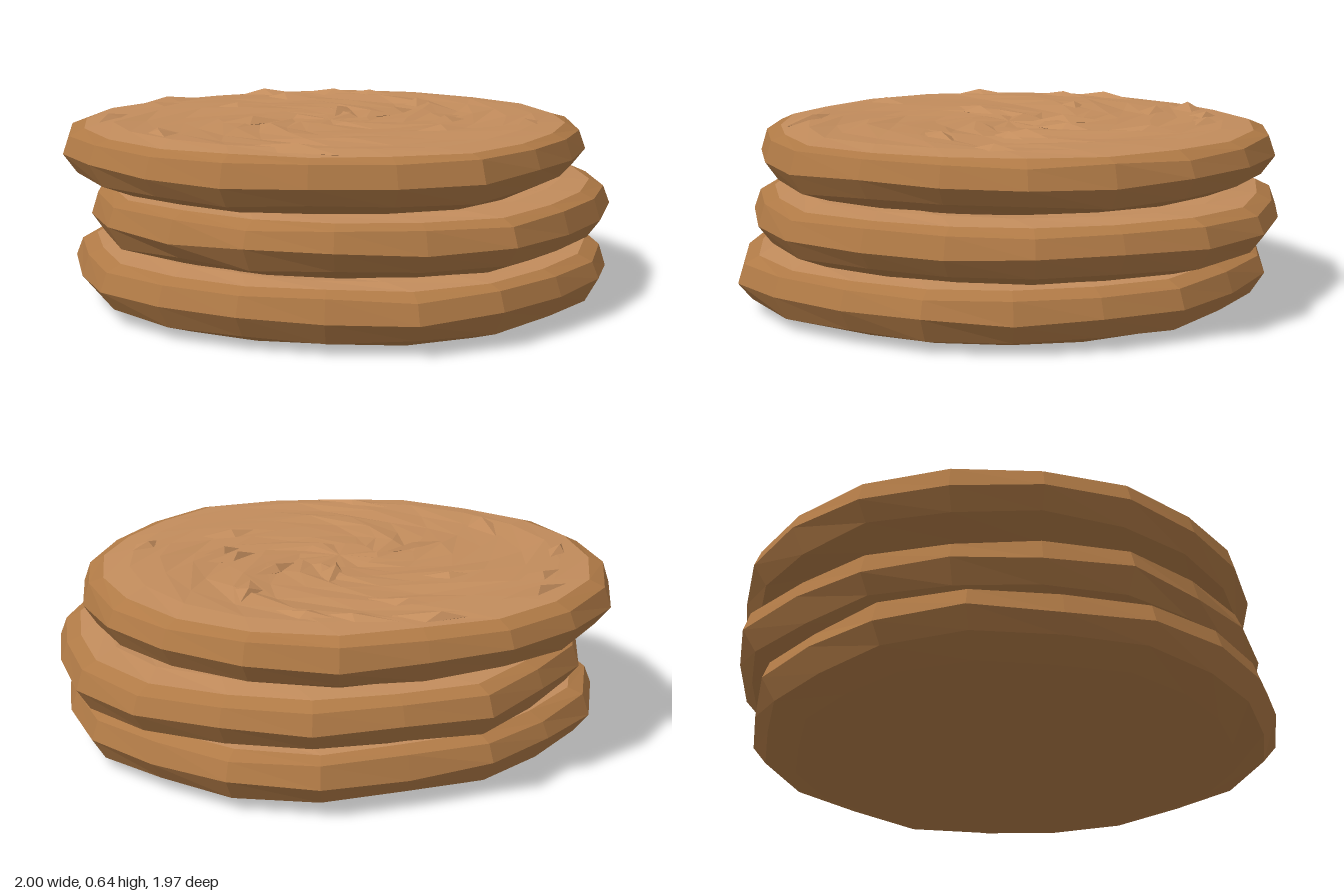
import * as THREE from 'three';

const SIDES = 20;
const crust = new THREE.MeshStandardMaterial({ color: 0xb07a46, flatShading: true });
const crumb = new THREE.MeshStandardMaterial({ color: 0xc28c5c, flatShading: true });

// Repeatable uneven value in -1..1
function wobble(i, j, seed) {
  const s = Math.sin(i * 12.99 + j * 78.23 + seed * 37.7) * 43758.55;
  return 2 * (s - Math.floor(s)) - 1;
}

// Skin over a list of closed rings; a ring flagged "pole" is a single point
function skin(rings) {
  const pos = [];
  for (let i = 0; i + 1 < rings.length; i++) {
    for (let j = 0; j < SIDES; j++) {
      const k = (j + 1) % SIDES;
      const a = rings[i][j], b = rings[i][k], c = rings[i + 1][k], d = rings[i + 1][j];
      if (!rings[i + 1].pole) pos.push(...a, ...d, ...c);
      else pos.push(...a, ...d, ...b);
      if (!rings[i].pole && !rings[i + 1].pole) pos.push(...a, ...c, ...b);
    }
  }
  const g = new THREE.BufferGeometry();
  g.setAttribute('position', new THREE.Float32BufferAttribute(pos, 3));
  g.computeVertexNormals();
  return g;
}

// One ring: fraction of the outline, height, twist, and height roughness
function ring(outline, scale, y, twist, rough, seed) {
  const pts = outline.map((r, j) => {
    const t = (j / SIDES) * Math.PI * 2 + twist;
    const rr = r * scale;
    return [Math.cos(t) * rr, y + rough * wobble(j, scale * 10, seed), Math.sin(t) * rr];
  });
  pts.pole = scale === 0;
  return pts;
}

// Rounded rim profile: [fraction of radius, height, roughness]
const RIM = [[0, 0, 0], [0.83, 0.004, 0.003], [0.95, 0.045, 0.009], [1, 0.115, 0.01],
  [0.975, 0.182, 0.007], [0.92, 0.204, 0.003]];
// Swirled top, from the rim inwards: [fraction, height, twist, roughness]
const TOP = [[0.92, 0.204, 0, 0.003], [0.81, 0.213, 0.08, 0.004], [0.69, 0.211, 0.22, 0.008],
  [0.56, 0.21, 0.4, 0.009], [0.43, 0.21, 0.6, 0.009], [0.29, 0.21, 0.85, 0.009],
  [0.15, 0.21, 1.1, 0.009], [0, 0.208, 1.1, 0]];

function makeDisc(name, x, y, z, outline, seed) {
  const disc = new THREE.Group();
  disc.name = name;
  const side = new THREE.Mesh(
    skin(RIM.map(([s, h, n]) => ring(outline, s, h, 0, n, seed))), crust);
  side.name = 'crust';
  const top = new THREE.Mesh(
    skin(TOP.map(([s, h, t, n]) => ring(outline, s, h, t, n, seed))), crumb);
  top.name = 'swirledTop';
  disc.add(side, top);
  disc.position.set(x, y, z);
  return disc;
}

// Uneven outlines, radius every 18 degrees from +x towards +z
const OUTLINES = [
  [0.965, 0.94, 0.94, 0.94, 0.93, 0.955, 0.96, 0.92, 0.92, 0.94,
    0.965, 0.95, 0.99, 0.99, 0.95, 0.96, 0.93, 0.98, 0.98, 0.95],
  [0.975, 0.93, 0.93, 0.92, 0.93, 0.98, 0.95, 0.94, 0.94, 0.94,
    0.975, 0.95, 0.94, 0.96, 0.94, 0.98, 0.94, 0.96, 0.95, 0.98],
  [0.945, 0.93, 0.92, 0.9, 0.91, 0.945, 0.91, 0.9, 0.91, 0.92,
    0.945, 0.96, 0.97, 0.98, 0.96, 0.945, 0.92, 0.965, 0.97, 0.96],
];

// Flakes on the top: [x, z, length, width, angle in degrees in plan]
const FLAKES = [
  [-0.3, -0.78, 0.36, 0.08, -3], [-0.42, -0.66, 0.34, 0.12, -8], [-0.2, -0.47, 0.26, 0.15, 28],
  [-0.72, -0.05, 0.32, 0.13, -70], [-0.54, 0.49, 0.38, 0.12, 62], [0.12, 0.42, 0.28, 0.13, 10],
  [0.3, 0.15, 0.24, 0.08, 0], [0.28, 0.23, 0.18, 0.06, 0], [0.45, -0.2, 0.3, 0.12, -50],
  [0.12, -0.6, 0.28, 0.12, 50], [0.14, -0.77, 0.28, 0.12, 35], [0.32, -0.67, 0.3, 0.12, 50],
  [0.44, -0.54, 0.28, 0.14, 60], [0.1, -0.21, 0.28, 0.08, -48], [0.47, 0.45, 0.22, 0.1, -25],
  [-0.36, -0.12, 0.3, 0.08, 5], [0.25, -0.06, 0.24, 0.08, -15], [-0.7, -0.47, 0.26, 0.08, -35],
];

function makeFlake([x, z, length, width, angle], i) {
  const geo = new THREE.OctahedronGeometry(1);
  const p = geo.attributes.position;
  // Lean the ridge to one side so each flake is a lopsided shard
  for (let v = 0; v < p.count; v++) {
    if (Math.abs(p.getY(v)) > 0.5) p.setXYZ(v, 0.4 * wobble(i, 1, 2), p.getY(v), -0.3);
  }
  geo.scale(length / 2, 0.024, width / 2);
  const flake = new THREE.Mesh(geo, crumb);
  flake.name = 'flake';
  flake.position.set(x, 0.619, z);
  flake.rotation.y = -THREE.MathUtils.degToRad(angle);
  return flake;
}

export function createModel() {
  const model = new THREE.Group();
  model.name = 'stackOfRoundBiscuits';
  model.add(
    makeDisc('bottomBiscuit', -0.035, 0, 0.03, OUTLINES[0], 1),
    makeDisc('middleBiscuit', 0.025, 0.205, -0.01, OUTLINES[1], 2),
    makeDisc('topBiscuit', -0.052, 0.412, -0.045, OUTLINES[2], 3),
  );
  const flakes = new THREE.Group();
  flakes.name = 'flakes';
  FLAKES.forEach((f, i) => flakes.add(makeFlake(f, i)));
  model.add(flakes);
  return model;
}
